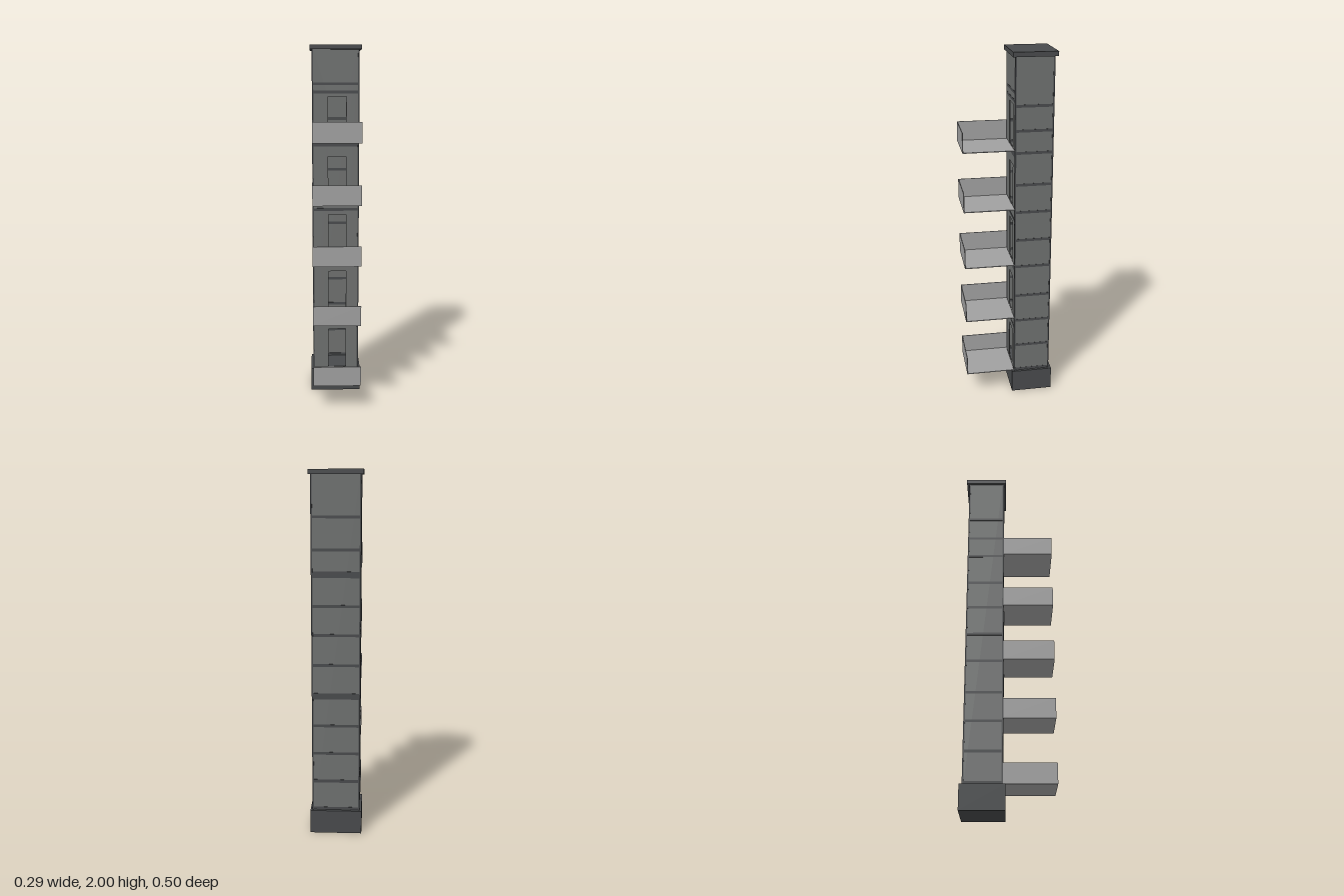
import * as THREE from 'three';

const dark = new THREE.MeshStandardMaterial({ color: 0x484a4c });
const wall = new THREE.MeshStandardMaterial({ color: 0x6e706f });
const pale = new THREE.MeshStandardMaterial({ color: 0xa0a0a0 });

// Box given by its min and max corners
function box(parent, name, material, [x0, y0, z0], [x1, y1, z1]) {
  const mesh = new THREE.Mesh(new THREE.BoxGeometry(x1 - x0, y1 - y0, z1 - z0), material);
  mesh.position.set((x0 + x1) / 2, (y0 + y1) / 2, (z0 + z1) / 2);
  mesh.name = name;
  parent.add(mesh);
  return mesh;
}

export function createModel() {
  const model = new THREE.Group();
  model.name = 'tower';

  // Shaft limits
  const X = 0.132, ZB = -0.237, ZF = -0.028, Y0 = 0.133, Y1 = 1.975;
  const POST = 0.008, T = 0.005, INSET = 0.002;
  const floors = [0.135, 0.484, 0.818, 1.15, 1.482];

  // Plinth and cap
  box(model, 'base', dark, [-0.143, 0, -0.252], [0.143, Y0, -0.016]);
  box(model, 'cap', dark, [-0.143, Y1, -0.252], [0.143, 2, -0.016]);

  // Corner posts
  const frame = new THREE.Group();
  frame.name = 'frame';
  model.add(frame);
  for (const x of [-X, X - POST])
    for (const z of [ZB, ZF - POST])
      box(frame, 'cornerPost', dark, [x, Y0, z], [x + POST, Y1, z + POST]);

  // Thin wall panels around a hollow shaft
  const walls = new THREE.Group();
  walls.name = 'walls';
  model.add(walls);
  for (const s of [-1, 1]) {
    const a = s * (X - INSET), b = s * (X - INSET - T);
    box(walls, 'sideWall', wall, [Math.min(a, b), Y0, ZB + POST], [Math.max(a, b), Y1, ZF - POST]);
  }
  box(walls, 'backWall', wall, [-X + POST, Y0, ZB + INSET], [X - POST, Y1, ZB + INSET + T]);

  // Front wall with a doorway above each balcony
  const rect = (Type, x0, y0, x1, y1) => new Type([[x0, y0], [x1, y0], [x1, y1], [x0, y1]]
    .map(([x, y]) => new THREE.Vector2(x, y)));
  const face = rect(THREE.Shape, -X + POST, Y0, X - POST, Y1);
  for (const y of floors) face.holes.push(rect(THREE.Path, -0.042, y + T, 0.059, y + 0.238));
  const front = new THREE.Mesh(
    new THREE.ExtrudeGeometry(face, { depth: T, bevelEnabled: false }), wall);
  front.position.z = ZF - INSET - T;
  front.name = 'frontWall';
  walls.add(front);

  // Horizontal bands: [centre height, band height]
  const thin = 0.015, thick = 0.034;
  const sideBands = [0.142, 0.305, 0.468, 0.628, 0.81, 0.97, 1.135, 1.292, 1.47, 1.59, 1.722]
    .map(y => [y, thin]);
  const backBands = [[0.142, thin], [0.305, 0.018], [0.468, thin], [0.628, thin], [0.797, thick],
    [0.97, thin], [1.135, thin], [1.292, thin], [1.46, thick], [1.59, thin], [1.76, thin]];
  const frontBands = [[0.418, thin], [0.478, thin], [0.797, thick], [1.085, thin],
    [1.145, thin], [1.46, thick], [1.745, thin], [1.79, thin]];
  const D = 0.001, W = T + INSET + D;
  for (const [y, h] of sideBands)
    for (const x of [-X + D, X - D - W])
      box(frame, 'sideBand', dark, [x, y - h / 2, ZB + POST], [x + W, y + h / 2, ZF - POST]);
  for (const [y, h] of backBands)
    box(frame, 'backBand', dark, [-X + POST, y - h / 2, ZB + D], [X - POST, y + h / 2, ZB + D + W]);
  for (const [y, h] of frontBands)
    box(frame, 'frontBand', dark, [-X + POST, y - h / 2, ZF - D - W], [X - POST, y + h / 2, ZF - D]);

  // Balconies: floor, front parapet and one side parapet, the left side open
  const H = 0.111, P = 0.004;
  for (const y of floors) {
    const balcony = new THREE.Group();
    balcony.name = 'balcony';
    model.add(balcony);
    box(balcony, 'balconyFloor', pale, [-X, y, ZF], [X, y + P, 0.25]);
    box(balcony, 'frontParapet', pale, [-X + P, y + P, 0.25 - P], [X, y + H, 0.25]);
    box(balcony, 'sideParapet', pale, [-X, y + P, ZF], [-X + P, y + H, 0.25]);
  }
  return model;
}
